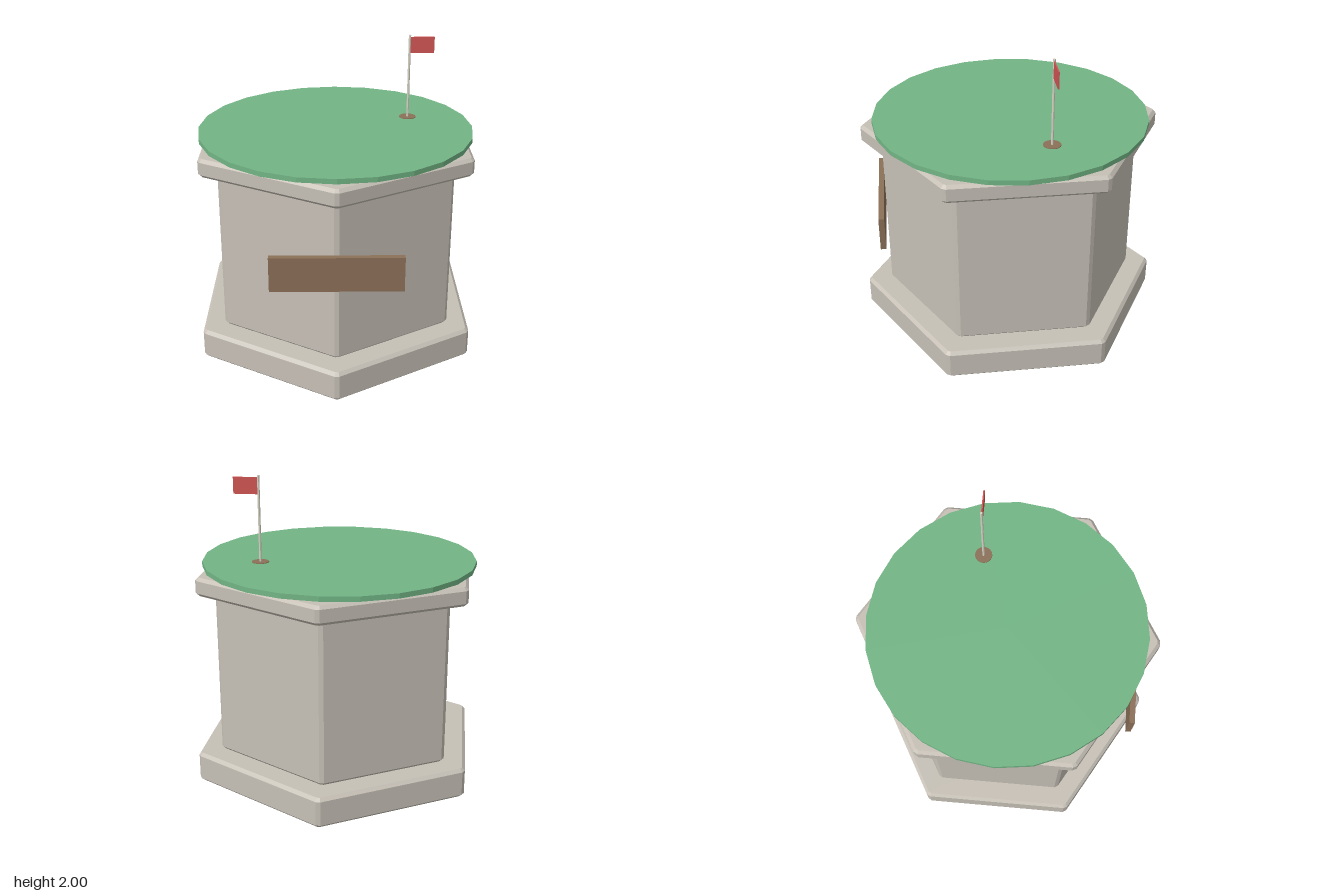
import * as THREE from 'three';

const mat = (name, color) => Object.assign(new THREE.MeshStandardMaterial({ color, flatShading: true }), { name });

export function createModel() {
  const model = new THREE.Group();
  model.name = 'golfTower';
  const stone = mat('stone', 0xc6c0b6);
  const turf = mat('turf', 0x72b585);
  const wood = mat('wood', 0x8b7058);
  const metal = mat('metal', 0xd6d3c4);
  const cloth = mat('flagRed', 0xcf5553);

  const add = (name, geometry, material, x = 0, y = 0, z = 0) => {
    const mesh = new THREE.Mesh(geometry, material);
    mesh.name = name;
    mesh.position.set(x, y, z);
    model.add(mesh);
    return mesh;
  };

  // Hexagonal block with chamfered corners and rims; corners point along z
  const hexBlock = (name, apothem, y0, y1, bevel = 0.02, chamfer = 0.015) => {
    const radius = apothem / Math.cos(Math.PI / 6);
    const tip = radius - chamfer * Math.tan(Math.PI / 6);
    const points = [];
    for (let i = 0; i < 6; i++) {
      const a = Math.PI / 2 + i * Math.PI / 3;
      for (const s of [-1, 1]) {
        points.push(new THREE.Vector2(
          tip * Math.cos(a) - s * chamfer * Math.sin(a),
          tip * Math.sin(a) + s * chamfer * Math.cos(a)));
      }
    }
    const geometry = new THREE.ExtrudeGeometry(new THREE.Shape(points), {
      depth: y1 - y0 - 2 * bevel, bevelEnabled: true, bevelSegments: 1,
      bevelSize: bevel, bevelThickness: bevel, bevelOffset: -bevel,
    });
    geometry.rotateX(-Math.PI / 2);
    add(name, geometry, stone, 0, y0 + bevel, 0);
  };

  // Stone tower
  hexBlock('base', 0.873, 0, 0.2);
  hexBlock('towerBody', 0.735, 0.2, 1.28);
  hexBlock('topSlab', 0.845, 1.28, 1.4);

  // Putting green
  add('green', new THREE.CylinderGeometry(0.895, 0.895, 0.032, 24), turf, 0, 1.421, 0);

  // Sign board on the front corner
  add('signBoard', new THREE.BoxGeometry(0.81, 0.225, 0.036), wood, 0, 0.818, 0.866);

  // Hole, pole and flag
  add('hole', new THREE.CylinderGeometry(0.056, 0.056, 0.005, 24), wood, 0.487, 1.4385, -0.197);
  add('flagPole', new THREE.CylinderGeometry(0.008, 0.008, 0.56, 10), metal, 0.487, 1.715, -0.197);
  add('flag', new THREE.BoxGeometry(0.155, 0.107, 0.008), cloth, 0.571, 1.929, -0.197);

  return model;
}
